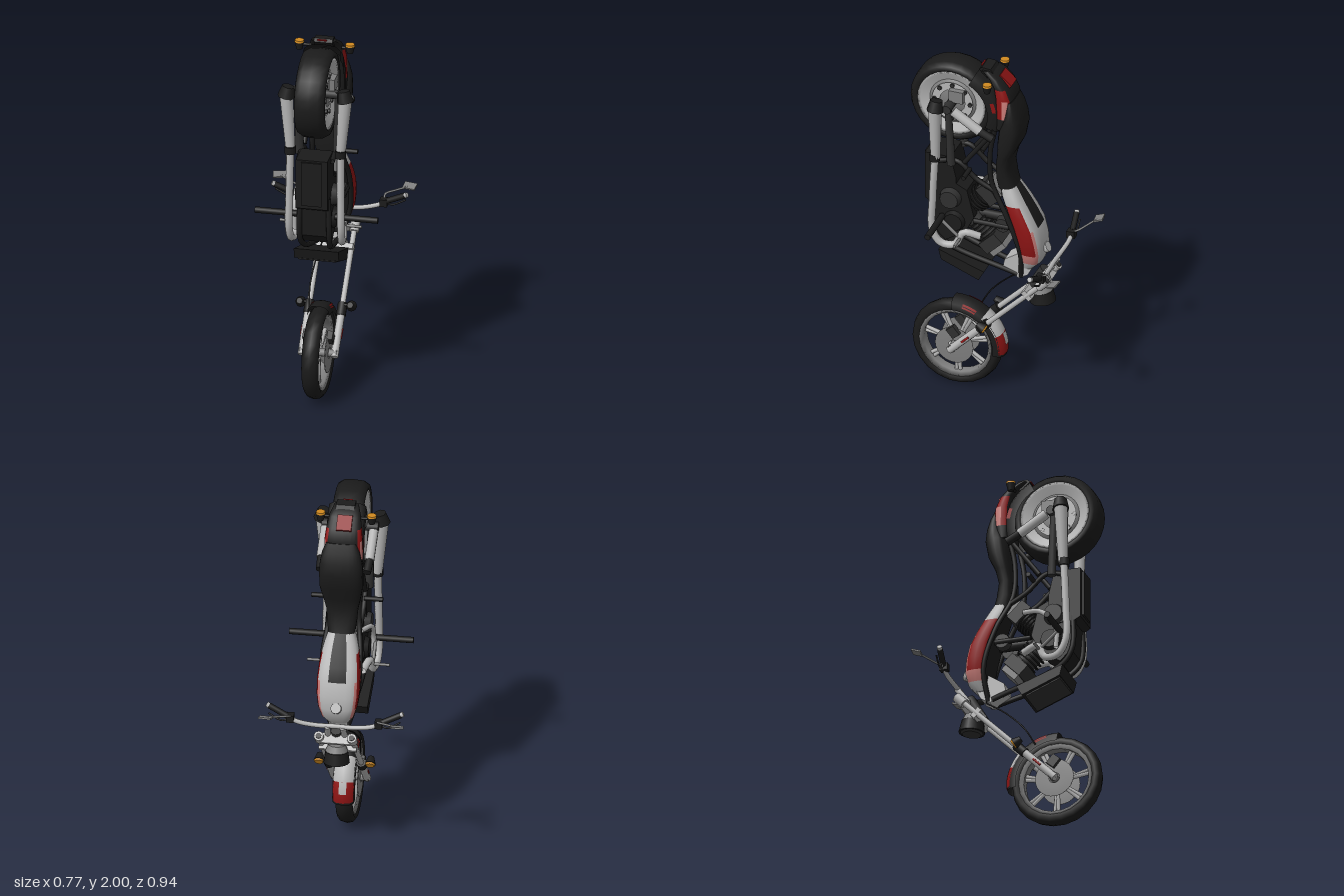
import * as THREE from 'three';
import { toCreasedNormals } from 'three/addons/utils/BufferGeometryUtils.js';

const mat = (name, color) => {
  const m = new THREE.MeshStandardMaterial({ color, side: THREE.DoubleSide });
  m.name = name;
  return m;
};

export function createModel() {
  const root = new THREE.Group();
  root.name = 'motorcycle';
  const black = mat('black', 0x1b1b1b), dark = mat('darkGrey', 0x303030);
  const silver = mat('silver', 0xb6b6b6), grey = mat('grey', 0x7e7e7e);
  const red = mat('red', 0x8c1414), salmon = mat('salmon', 0xc87c78), orange = mat('orange', 0xd08a20);
  const V = (p) => new THREE.Vector3(...p);
  const add = (name, geo, m, pos = [0, 0, 0]) => {
    const mesh = new THREE.Mesh(geo, m);
    mesh.name = name;
    mesh.position.set(...pos);
    root.add(mesh);
    return mesh;
  };
  // straight round bar from a to b
  const rod = (name, a, b, r1, m, r2 = r1, n = 10) => {
    const d = V(b).sub(V(a));
    const mesh = add(name, new THREE.CylinderGeometry(r2, r1, d.length(), n), m);
    mesh.position.copy(V(a)).addScaledVector(d, 0.5);
    mesh.quaternion.setFromUnitVectors(new THREE.Vector3(0, 1, 0), d.normalize());
    return mesh;
  };
  const pipe = (name, pts, r, m, n = 28) =>
    add(name, new THREE.TubeGeometry(new THREE.CatmullRomCurve3(pts.map(V)), n, r, 8), m);
  const box = (name, size, pos, m, rx = 0) => {
    const mesh = add(name, new THREE.BoxGeometry(...size), m, pos);
    mesh.rotation.x = rx;
    return mesh;
  };
  // side profile given as [z, y], extruded across x
  const plate = (name, pts, x0, x1, m) => {
    const shape = new THREE.Shape(pts.map(([z, y]) => new THREE.Vector2(-z, y)));
    const mesh = add(name, new THREE.ExtrudeGeometry(shape, { depth: x1 - x0, bevelEnabled: false }), m, [x0, 0, 0]);
    mesh.rotation.y = Math.PI / 2;
    return mesh;
  };
  // profile [radius, x] turned about a sideways axle; angles run from the rear (-z) towards +y
  const turn = (name, pts, pos, m, a0 = 0, a1 = 360, n = 28) => {
    const rad = Math.PI / 180;
    const geo = new THREE.LatheGeometry(pts.map(([r, x]) => new THREE.Vector2(r, x)), n, Math.PI + a0 * rad, (a1 - a0) * rad);
    const mesh = add(name, geo, m, pos);
    mesh.rotation.z = -Math.PI / 2;
    return mesh;
  };
  // body from oval sections [y, zBack, zFront, halfWidth]; pick gives a material index
  // per face from its row and its angle above the side (90 = back, -90 = front)
  const loft = (name, rows, mats, pick = () => 0, n = 24) => {
    const pos = [], idx = [], geo = new THREE.BufferGeometry();
    const soft = (v) => Math.sign(v) * Math.abs(v) ** 0.65;
    for (const [y, zb, zf, w] of rows) for (let j = 0; j < n; j++) {
      const t = (j / n) * Math.PI * 2;
      pos.push(w * soft(Math.cos(t)), y, (zb + zf) / 2 + ((zf - zb) / 2) * soft(Math.sin(t)));
    }
    const quad = (a, b, c, d, k) => { geo.addGroup(idx.length, 6, k); idx.push(a, c, b, b, c, d); };
    for (let i = 0; i < rows.length - 1; i++) for (let j = 0; j < n; j++) {
      const k = (j + 1) % n, t = ((j + 0.5) / n) * Math.PI * 2;
      const rise = Math.atan2(-Math.sin(t), Math.abs(Math.cos(t))) * 180 / Math.PI;
      quad(i * n + j, i * n + k, (i + 1) * n + j, (i + 1) * n + k, pick(i, rise));
    }
    const start = idx.length, last = (rows.length - 1) * n;
    for (let j = 1; j < n - 1; j++) idx.push(0, j, j + 1, last, last + j + 1, last + j);
    geo.addGroup(start, idx.length - start, 0);
    geo.setAttribute('position', new THREE.Float32BufferAttribute(pos, 3));
    geo.setIndex(idx);
    return add(name, toCreasedNormals(geo, 0.8), mats);
  };

  // rear wheel
  const R = [-0.005, 1.76, 0.23], F = [0, 0.25, 0.22];
  turn('rearTyre', [[0.185, -0.07], [0.2, -0.083], [0.22, -0.078], [0.237, -0.05], [0.24, 0], [0.237, 0.05], [0.22, 0.078], [0.2, 0.083], [0.185, 0.07]], R, black);
  turn('rearRim', [[0.13, -0.05], [0.175, -0.07], [0.19, -0.075], [0.17, 0], [0.19, 0.075], [0.175, 0.07], [0.13, 0.05]], R, silver);
  turn('rearWheelDisc', [[0.02, -0.05], [0.135, -0.045], [0.135, 0.045], [0.02, 0.05]], R, grey);
  rod('rearAxle', [-0.15, 1.76, 0.23], [0.15, 1.76, 0.23], 0.025, dark);
  for (const s of [-1, 1]) {
    turn('rearBrakeDisc', [[0.07, s * 0.06], [0.115, s * 0.06]], R, silver);
    box('rearCaliper', [0.03, 0.07, 0.08], [s * 0.075, 1.81, 0.2], grey);
    for (let i = 0; i < 8; i++) {
      const a = (i / 8) * Math.PI * 2;
      const y = R[1] + 0.1 * Math.sin(a), z = R[2] + 0.1 * Math.cos(a);
      rod('rearWheelHole', [s * 0.05, y, z], [s * 0.065, y, z], 0.012, dark);
    }
  }

  // front wheel
  turn('frontTyre', [[0.2, -0.036], [0.222, -0.046], [0.242, -0.03], [0.25, 0], [0.242, 0.03], [0.222, 0.046], [0.2, 0.036]], F, black, 0, 360, 22);
  turn('frontRim', [[0.18, -0.025], [0.203, -0.038], [0.203, 0.038], [0.18, 0.025], [0.18, -0.025]], F, grey, 0, 360, 22);
  for (let i = 0; i < 7; i++) {
    const a = (i / 7) * Math.PI * 2 + 0.2;
    for (const d of [-0.06, 0.06]) rod('frontSpoke', [0, F[1] + 0.04 * Math.sin(a), F[2] + 0.04 * Math.cos(a)],
      [0, F[1] + 0.185 * Math.sin(a + d), F[2] + 0.185 * Math.cos(a + d)], 0.013, silver, 0.011, 6);
  }
  for (const s of [-1, 1]) {
    turn('frontBrakeDisc', [[0.03, s * 0.052], [0.106, s * 0.052], [0.106, s * 0.058], [0.03, s * 0.058]], F, grey);
    box('frontCaliper', [0.03, 0.06, 0.05], [s * 0.065, 0.34, 0.22], dark, 0.7);
  }
  rod('frontAxle', [-0.1, 0.25, 0.22], [0.1, 0.25, 0.22], 0.022, grey);

  // front fender with painted bands
  turn('frontFender', [[0.215, -0.058], [0.25, -0.055], [0.268, -0.035], [0.274, 0], [0.268, 0.035], [0.25, 0.055], [0.215, 0.058]], F, black, -6, 94, 20);
  const band = [[0.246, -0.058], [0.272, -0.036], [0.278, 0], [0.272, 0.036], [0.246, 0.058]];
  turn('fenderTipBand', band, F, red, -3, 22, 5);
  turn('fenderTipInlay', [[0.28, -0.02], [0.282, 0], [0.28, 0.02]], F, silver, 8, 22, 3);
  turn('fenderMiddleBand', band, F, silver, 22, 52, 6);
  for (const s of [-1, 1]) turn('fenderSideMark', [[0.24, s * 0.059], [0.262, s * 0.048]], F, red, 62, 80, 4);

  // fork, clamps and front signals
  const fork = (s, z, off = 0.088) => [s * off, 0.47 - z, z];
  for (const s of [-1, 1]) {
    rod('forkLower', fork(s, 0.235), fork(s, 0.03), 0.021, silver);
    rod('forkReflector', [s * 0.107, 0.31, 0.16], [s * 0.107, 0.35, 0.12], 0.006, red);
    rod('forkSeal', fork(s, 0.07), fork(s, 0.02), 0.026, black);
    rod('forkTube', fork(s, 0.03), fork(s, -0.295), 0.015, silver);
    rod('forkCap', fork(s, -0.265), fork(s, -0.31), 0.026, silver);
    rod('forkCapBolt', fork(s, -0.31), fork(s, -0.314), 0.015, dark);
    rod('frontSignalStalk', [s * 0.09, 0.45, 0.04], [s * 0.14, 0.45, 0.04], 0.008, black);
    rod('frontSignal', [s * 0.136, 0.462, 0.062], [s * 0.136, 0.44, 0.025], 0.016, black, 0.029, 12);
    rod('frontSignalLens', [s * 0.136, 0.44, 0.025], [s * 0.136, 0.435, 0.017], 0.026, orange, 0.022, 12);
  }
  box('lowerForkClamp', [0.2, 0.03, 0.06], [0, 0.67, -0.2], silver, -Math.PI / 4);
  box('upperForkClamp', [0.16, 0.025, 0.055], [0, 0.75, -0.28], silver, -Math.PI / 4);
  rod('steeringStem', [0, 0.66, -0.19], [0, 0.8, -0.27], 0.03, dark);
  pipe('brakeHose', [[-0.05, 0.74, -0.16], [-0.07, 0.66, -0.05], [-0.08, 0.55, 0.06], [-0.07, 0.45, 0.12]], 0.004, black);

  // headlight
  rod('headlightMount', [0, 0.7, -0.245], [0, 0.665, -0.25], 0.045, grey, 0.06, 16);
  rod('headlightShell', [0, 0.665, -0.25], [0, 0.602, -0.256], 0.06, black, 0.07, 16);
  rod('headlightLens', [0, 0.602, -0.256], [0, 0.592, -0.257], 0.06, dark, 0.05, 16);

  // handlebar, controls and mirrors
  pipe('handlebar', [[-0.27, 0.905, -0.33], [-0.2, 0.87, -0.33], [-0.1, 0.85, -0.32], [0, 0.85, -0.317], [0.1, 0.85, -0.32], [0.2, 0.87, -0.33], [0.27, 0.905, -0.33]], 0.013, silver);
  for (const s of [-1, 1]) {
    rod('riser', [s * 0.045, 0.76, -0.26], [s * 0.04, 0.85, -0.325], 0.016, silver);
    rod('grip', [s * 0.25, 0.898, -0.33], [s * 0.35, 0.945, -0.316], 0.016, black);
    rod('gripEnd', [s * 0.35, 0.945, -0.316], [s * 0.363, 0.952, -0.314], 0.014, silver);
    box('switchBlock', [0.04, 0.04, 0.045], [s * 0.235, 0.89, -0.33], black);
    pipe('lever', [[s * 0.24, 0.885, -0.33], [s * 0.28, 0.875, -0.34], [s * 0.35, 0.91, -0.335]], 0.005, dark, 10);
    pipe('mirrorStem', [[s * 0.235, 0.9, -0.335], [s * 0.235, 0.92, -0.37], [s * 0.28, 0.93, -0.4], [s * 0.34, 0.94, -0.435]], 0.006, grey, 14);
    box('mirror', [0.068, 0.009, 0.05], [s * 0.35, 0.942, -0.443], grey, 0.3).rotation.y = s * -0.15;
  }

  // fuel tank: silver with red flanks, salmon edging and a black centre strip
  loft('fuelTank', [[0.81, -0.215, -0.15, 0.055], [0.86, -0.262, -0.15, 0.085], [0.92, -0.276, -0.14, 0.104], [0.99, -0.268, -0.13, 0.113],
    [1.07, -0.248, -0.11, 0.114], [1.14, -0.212, -0.085, 0.108], [1.2, -0.178, -0.06, 0.098], [1.25, -0.148, -0.04, 0.085], [1.32, -0.105, -0.025, 0.06]], [silver, red, salmon, black],
  (i, rise) => {
    if (rise < -25 || (rise > 70 && i > 3)) return 3;
    if (rise < 30) return i > 1 && i < 6 ? 1 : i === 1 ? 2 : 0;
    return rise < 45 && i > 0 && i < 4 ? 2 : 0;
  });
  rod('fuelCap', [0, 0.93, -0.27], [0, 0.94, -0.288], 0.03, silver, 0.028, 14);
  plate('neckCover', [[-0.24, 0.87], [-0.18, 0.92], [-0.06, 0.84], [-0.05, 0.79], [-0.14, 0.74], [-0.19, 0.77]], -0.05, 0.05, silver);

  // seat
  loft('seat', [[1.28, -0.125, -0.02, 0.07], [1.34, -0.105, -0.01, 0.078], [1.42, -0.09, -0.01, 0.085], [1.49, -0.105, -0.02, 0.1], [1.57, -0.143, -0.025, 0.115],
    [1.66, -0.16, -0.035, 0.116], [1.72, -0.15, -0.06, 0.112], [1.78, -0.13, -0.075, 0.1], [1.83, -0.108, -0.08, 0.08]], [black]);

  // rear fender, painted tail cowl, lights and signals
  turn('rearFender', [[0.2, -0.1], [0.25, -0.098], [0.272, -0.07], [0.28, 0], [0.272, 0.07], [0.25, 0.098], [0.2, 0.1]], [-0.005, 1.73, 0.22], black, -20, 62, 10);
  loft('tailCowl', [[1.66, -0.1, -0.01, 0.1], [1.73, -0.11, -0.01, 0.103], [1.84, -0.105, -0.01, 0.1], [1.9, -0.077, 0, 0.093], [1.95, -0.035, 0.03, 0.083], [1.985, 0.02, 0.075, 0.065]],
    [black, red, salmon], (i, rise) => {
      if (i < 1 || i > 2 || rise < -30 || rise > 45) return 0;
      return i === 1 && rise > 0 && rise < 30 ? 2 : 1;
    }).position.x = -0.007;
  for (const s of [-1, 1]) {
    const x = s * 0.136 - 0.011;
    turn('fenderPanel', [[0.23, s * 0.104], [0.252, s * 0.103]], [-0.005, 1.73, 0.22], red, 8, 22, 4);
    rod('rearSignalStalk', [s * 0.08, 1.93, 0.01], [x, 1.93, 0.01], 0.008, black);
    rod('rearSignal', [x, 1.902, 0.01], [x, 1.943, 0.01], 0.016, black, 0.026, 12);
    rod('rearSignalLens', [x, 1.943, 0.01], [x, 1.953, 0.01], 0.026, orange, 0.024, 12);
  }
  plate('tailPiece', [[0.085, 1.985], [0.07, 2], [0.02, 1.995], [-0.01, 1.95], [0.04, 1.94]], -0.055, 0.045, black);
  box('tailLight', [0.08, 0.024, 0.085], [-0.011, 1.927, -0.052], red, -0.75);
  box('rearReflector', [0.05, 0.006, 0.008], [-0.011, 1.995, 0.08], red);

  // engine block, covers and two cylinders
  plate('gearbox', [[0.375, 1.43], [0.375, 1.15], [0.34, 1.13], [0.2, 1.13], [0.2, 1.3], [0.23, 1.43]], -0.09, 0.08, black);
  plate('gearboxCover', [[0.385, 1.42], [0.385, 1.17], [0.3, 1.17], [0.3, 1.42]], -0.06, 0.05, black);
  plate('crankcase', [[0.34, 1.16], [0.32, 0.97], [0.26, 0.91], [0.15, 0.98], [0.1, 1.08], [0.14, 1.24], [0.22, 1.28]], -0.08, 0.08, black);
  for (const s of [-1, 1]) {
    rod('clutchCover', [s * 0.08, 1.18, 0.23], [s * 0.115, 1.18, 0.23], 0.06, dark, 0.05, 16);
    rod('timingCover', [s * 0.08, 1.04, 0.21], [s * 0.105, 1.04, 0.21], 0.06, black, 0.05, 16);
  }
  for (const [y, z] of [[1.25, 0.01], [0.91, -0.01]]) {
    const at = (t) => [0, 1.09 + (y - 1.09) * t, 0.17 + (z - 0.17) * t];
    const tilt = Math.atan2(z - 0.17, y - 1.09);
    rod('cylinder', at(0.1), at(0.9), 0.055, dark, 0.055, 14);
    for (let i = 0; i < 5; i++) rod('coolingFin', at(0.35 + i * 0.09), at(0.38 + i * 0.09), 0.072, black, 0.072, 14);
    box('cylinderHead', [0.15, 0.07, 0.12], at(0.88), dark, tilt);
    box('rockerCover', [0.12, 0.035, 0.1], at(1.08), grey, tilt);
  }
  rod('airIntake', [0, 1.07, 0.12], [0, 1.07, -0.1], 0.025, black);
  for (const s of [-1, 1]) {
    rod('airCleaner', [s * 0.05, 1.07, -0.06], [s * 0.09, 1.07, -0.06], 0.045, dark, 0.04, 14);
    rod('intakeStrut', [s * 0.085, 1.065, 0.1], [s * 0.085, 1.065, -0.1], 0.014, black);
  }

  // radiator and frame tubes
  plate('radiator', [[0.285, 0.87], [0.27, 0.81], [0.06, 0.725], [0.03, 0.78]], -0.12, 0.12, black);
  plate('radiatorCore', [[0.268, 0.808], [0.265, 0.8], [0.075, 0.723], [0.08, 0.732]], -0.1, 0.1, dark);
  for (const s of [-1, 1]) {
    pipe('downTube', [[s * 0.075, 1.2, 0.33], [s * 0.08, 0.97, 0.325], [s * 0.07, 0.89, 0.26], [s * 0.04, 0.76, -0.13]], 0.015, black);
    pipe('upperTube', [[s * 0.04, 0.75, -0.15], [s * 0.09, 0.93, -0.16], [s * 0.1, 1.14, -0.09], [s * 0.08, 1.32, 0], [s * 0.08, 1.5, 0.01], [s * 0.09, 1.66, -0.02]], 0.014, black);
    pipe('seatTube', [[s * 0.085, 1.28, -0.01], [s * 0.09, 1.33, 0.08], [s * 0.09, 1.42, 0.19], [s * 0.09, 1.4, 0.3]], 0.014, black);
    rod('rearStay', [s * 0.09, 1.42, 0.15], [s * 0.095, 1.64, -0.01], 0.013, black);
    // swing arm and shock
    rod('swingArm', [s * 0.1, 1.4, 0.22], [s * 0.11, 1.78, 0.235], 0.024, dark, 0.018);
    rod('shockBody', [s * 0.128, 1.75, 0.2], [s * 0.128, 1.655, 0.05], 0.026, silver);
    rod('shockTop', [s * 0.128, 1.655, 0.05], [s * 0.125, 1.62, -0.02], 0.022, black);
    // exhaust
    rod('muffler', [s * 0.135, 1.45, 0.295], [s * 0.158, 1.76, 0.29], 0.026, silver, 0.037, 12);
    rod('mufflerEnd', [s * 0.16, 1.75, 0.29], [s * 0.148, 1.81, 0.285], 0.046, black, 0.034, 8);
    rod('mufflerClamp', [s * 0.135, 1.43, 0.3], [s * 0.135, 1.47, 0.3], 0.03, black);
    pipe('exhaustPipe', [[s * 0.135, 1.46, 0.298], [s * 0.138, 1.2, 0.31], [s * 0.14, 1.0, 0.31], [s * 0.135, 0.925, 0.265], [s * 0.125, 0.925, 0.19], [s * 0.115, 1.0, 0.145], [s * 0.09, 0.98, 0.06]], 0.021, silver, 40);
    // foot rests and pedals
    rod('frontFootRest', [s * 0.1, 1.068, 0.27], [s * 0.33, 1.068, 0.27], 0.017, black);
    rod('footPedal', [s * 0.1, 0.97, 0.16], [s * 0.22, 0.97, 0.16], 0.008, grey);
    rod('pedalArm', [s * 0.13, 0.97, 0.16], [s * 0.13, 1.068, 0.27], 0.009, grey);
    rod('rearFootRest', [s * 0.09, 1.385, 0.12], [s * 0.19, 1.385, 0.12], 0.013, black);
  }
  pipe('upperExhaust', [[-0.12, 0.97, 0.25], [-0.12, 1.09, 0.25], [-0.12, 1.19, 0.17], [-0.08, 1.22, 0.06]], 0.014, silver);
  return root;
}
